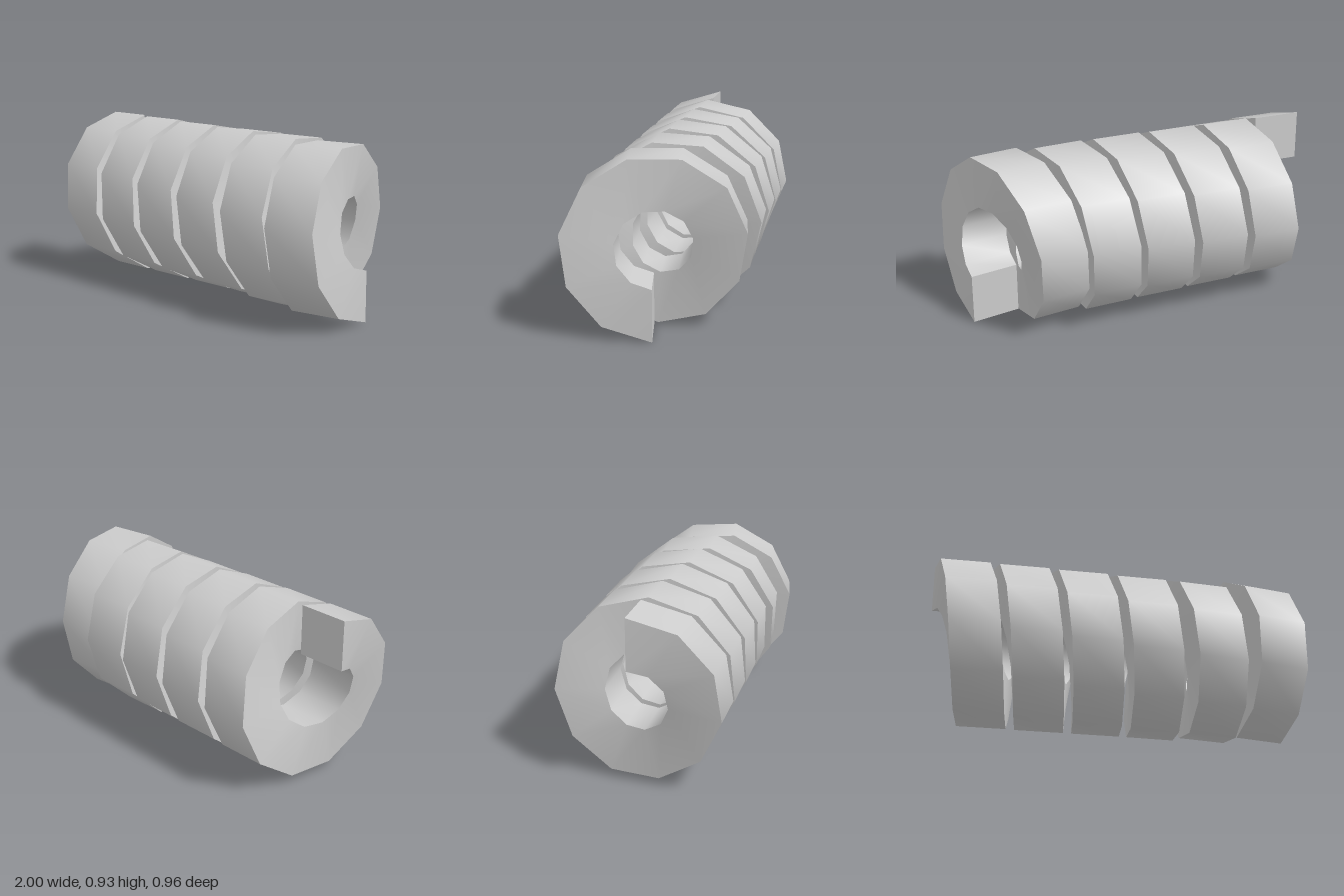
import * as THREE from 'three';
import { toCreasedNormals } from 'three/addons/utils/BufferGeometryUtils.js';

const TURNS = 5.5, STEPS = 60, PITCH = 0.317;
const INNER = 0.185, OUTER = 0.455, HALF_WIDTH = 0.135;

// Piecewise-linear lookup through [turn, value] pairs
function along(keys, t) {
  for (let i = 1; i < keys.length; i++) {
    const [t0, v0] = keys[i - 1], [t1, v1] = keys[i];
    if (t <= t1) return v0 + (v1 - v0) * (t - t0) / (t1 - t0);
  }
  return keys[keys.length - 1][1];
}

// The last turns of the coil lean over and drift slightly off the axis
const yaw = [[0, 0], [3, 0.01], [3.75, 0.04], [4.25, 0.09], [4.75, 0.15], [5.5, 0.18]];
const shiftX = [[0, 0], [4.75, 0], [5, 0.015], [5.25, -0.015], [5.5, -0.05]];
const centreY = [[0, 0.48], [3, 0.474], [4.5, 0.463], [5, 0.457], [5.5, 0.457]];
const centreZ = [[0, -0.032], [3.5, -0.032], [4.25, -0.022], [4.75, 0.012], [5.25, 0.008], [5.5, -0.003]];

// Four corners of the square bar at a given number of turns
function section(t) {
  const a = Math.PI / 2 - t * Math.PI * 2;
  const lean = along(yaw, t), c = Math.cos(lean), s = Math.sin(lean);
  const x0 = -0.865 + PITCH * t + along(shiftX, t);
  return [[-1, INNER], [-1, OUTER], [1, OUTER], [1, INNER]].flatMap(([side, r]) => {
    const dx = side * HALF_WIDTH, rz = r * Math.cos(a);
    return [
      x0 + dx * c + rz * s,
      along(centreY, t) + r * Math.sin(a),
      along(centreZ, t) - dx * s + rz * c,
    ];
  });
}

function coilGeometry() {
  const positions = [], index = [];
  for (let i = 0; i <= STEPS; i++) positions.push(...section(TURNS * i / STEPS));

  // Four long faces of the bar
  for (let i = 0; i < STEPS; i++) {
    for (let k = 0; k < 4; k++) {
      const a = i * 4 + k, b = i * 4 + (k + 1) % 4;
      index.push(a, a + 4, b + 4, a, b + 4, b);
    }
  }
  // Square end caps
  const e = STEPS * 4;
  index.push(0, 1, 2, 0, 2, 3, e, e + 2, e + 1, e, e + 3, e + 2);

  const geometry = new THREE.BufferGeometry();
  geometry.setAttribute('position', new THREE.Float32BufferAttribute(positions, 3));
  geometry.setIndex(index);
  return toCreasedNormals(geometry, 0.7);
}

export function createModel() {
  const group = new THREE.Group();
  group.name = 'coilSpring';
  const coil = new THREE.Mesh(coilGeometry(), new THREE.MeshStandardMaterial({ color: 0xcccccc }));
  coil.name = 'squareBarCoil';
  group.add(coil);
  return group;
}
